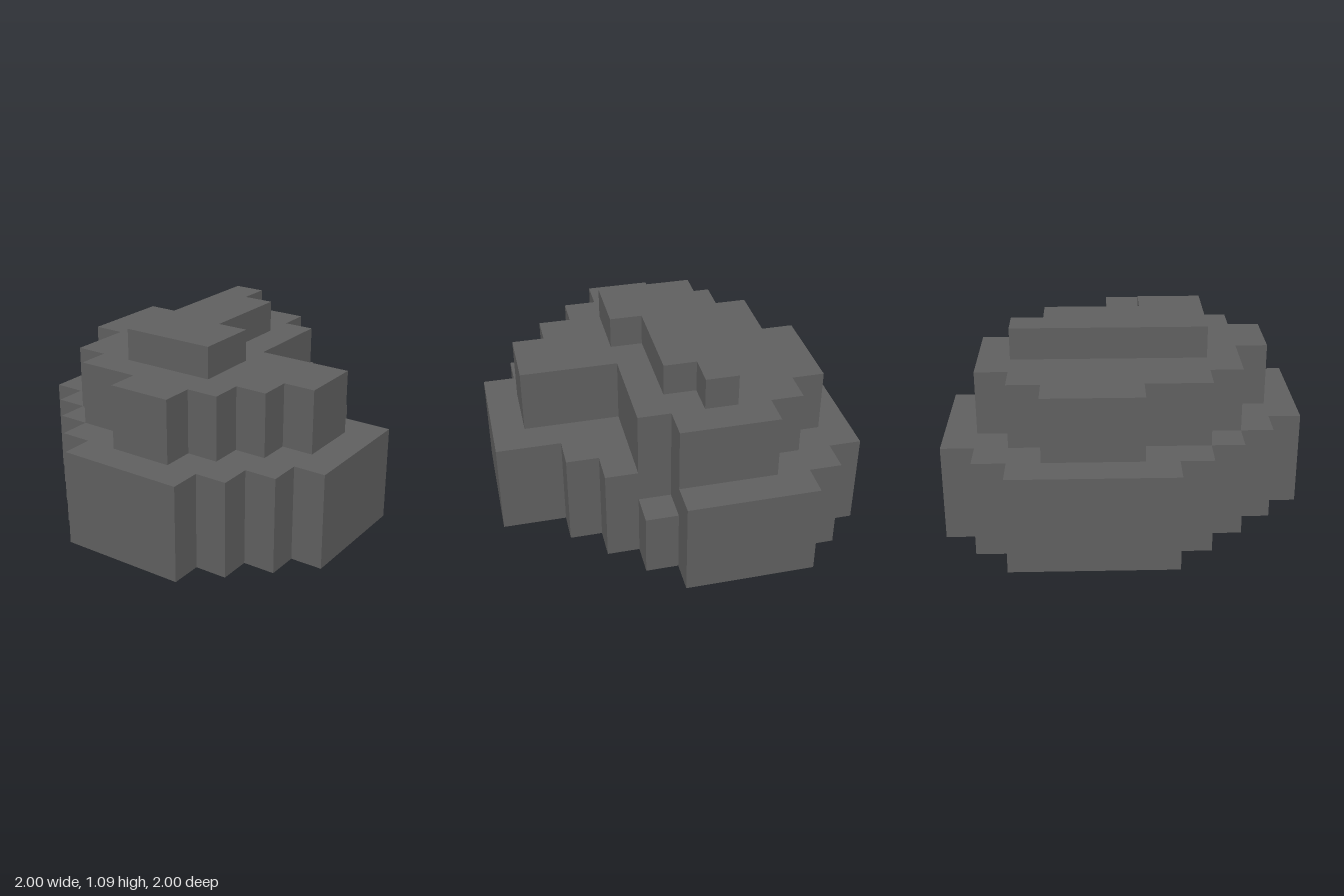
import * as THREE from 'three';

const U = 2 / 11; // edge of one block

// Each tier: first row (from the back), bottom and top level in blocks,
// and the [start, end] columns filled in every row.
const base = [[2, 6], [1, 7], [0, 8], [0, 9], [0, 11], [0, 11], [0, 11], [1, 11], [2, 10], [3, 9], [4, 8]];
const baseRim = base.map((span, row) => (row === 1 ? [1, 6] : span)); // one corner block missing
const middle = [[3, 6], [2, 7], [1, 7], [1, 7], [1, 10], [2, 10], [2, 9], [3, 8], [5, 7]];
const cap = [[4, 5], [4, 6], [4, 6], [4, 6], [4, 7], [4, 7]];

const tiers = [
  { name: 'rockBase', firstRow: 0, bottom: 0, top: 2, rows: base },
  { name: 'rockBaseRim', firstRow: 0, bottom: 2, top: 3, rows: baseRim },
  { name: 'rockMiddle', firstRow: 1, bottom: 3, top: 5, rows: middle },
  { name: 'rockCap', firstRow: 2, bottom: 5, top: 6, rows: cap },
];

// Stepped outline: down the right ends of the rows, back up the left ends
function outline(rows, firstRow) {
  const right = [];
  const left = [];
  rows.forEach(([start, end], i) => {
    for (const z of [firstRow + i, firstRow + i + 1]) {
      right.push([end, z]);
      left.unshift([start, z]);
    }
  });
  const corners = [...right, ...left].filter(
    (p, i, all) => i === 0 || p[0] !== all[i - 1][0] || p[1] !== all[i - 1][1]
  );
  return new THREE.Shape(corners.map(([x, z]) => new THREE.Vector2(x * U - 1, z * U - 1)));
}

export function createModel() {
  const group = new THREE.Group();
  group.name = 'blockyRock';
  const stone = new THREE.MeshStandardMaterial({ color: 0x5f5f5f });
  stone.name = 'dark grey stone';

  for (const { name, firstRow, bottom, top, rows } of tiers) {
    const geometry = new THREE.ExtrudeGeometry(outline(rows, firstRow), {
      depth: (top - bottom) * U,
      bevelEnabled: false,
    });
    geometry.rotateX(Math.PI / 2); // lay the outline flat, extruding downwards
    geometry.translate(0, top * U, 0);
    const mesh = new THREE.Mesh(geometry, stone);
    mesh.name = name;
    group.add(mesh);
  }
  return group;
}
